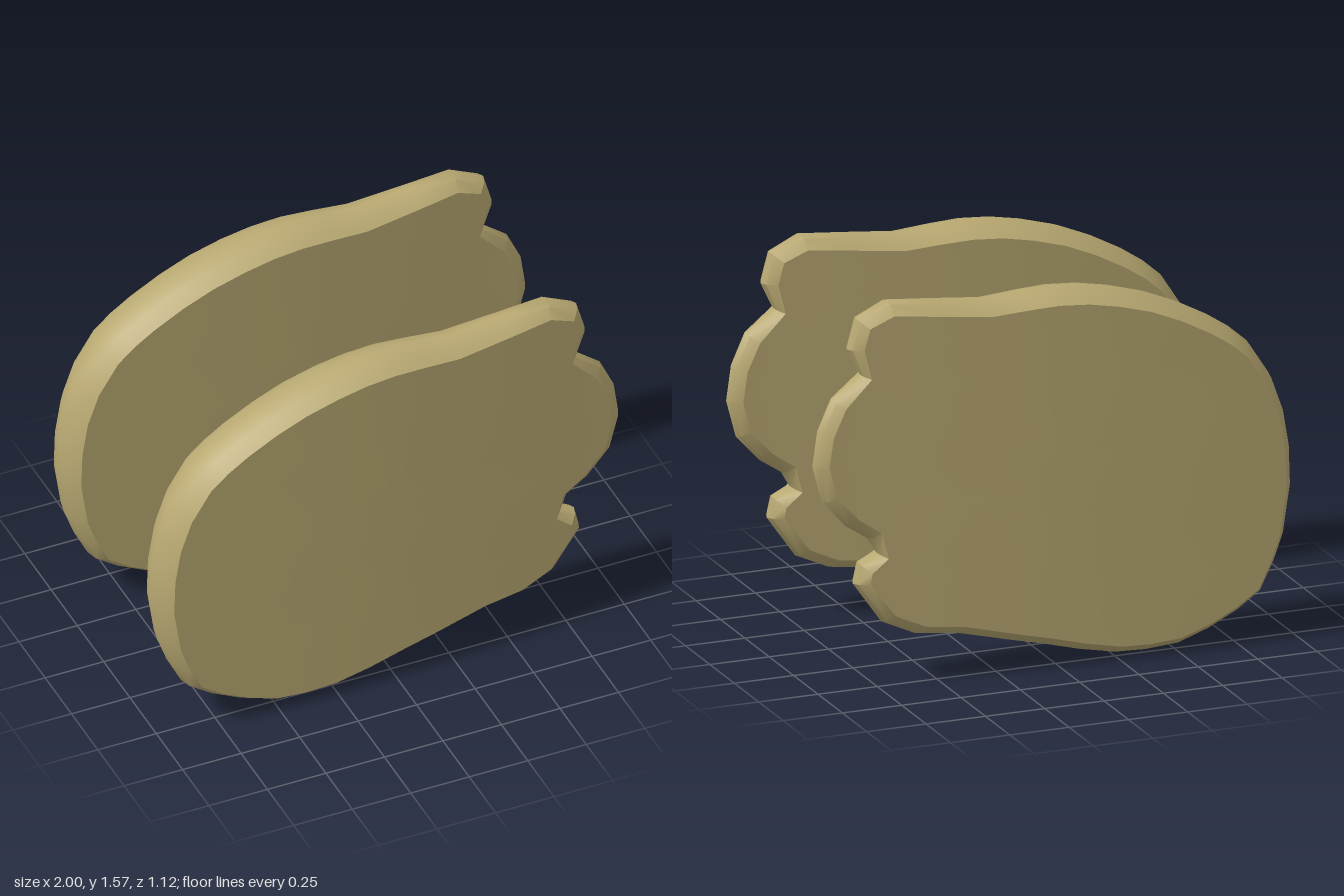
import * as THREE from 'three';
import { toCreasedNormals } from 'three/addons/utils/BufferGeometryUtils.js';

// Side silhouette, counter-clockwise from the lowest point
const OUTLINE = [
  [-0.38, 0.005], [-0.25, 0.01], [-0.1, 0.04], [0.05, 0.08], [0.2, 0.115], [0.4, 0.165],
  [0.57, 0.185], [0.71, 0.25], [0.83, 0.42], [0.81, 0.505], [0.73, 0.535], [0.77, 0.6],
  [0.86, 0.66], [0.96, 0.77], [1, 0.92], [0.98, 1.06], [0.92, 1.19], [0.8, 1.275],
  [0.855, 1.385], [0.82, 1.51], [0.69, 1.57], [0.5, 1.55], [0.28, 1.525], [0.13, 1.535],
  [0, 1.54], [-0.13, 1.53], [-0.26, 1.505], [-0.4, 1.465], [-0.53, 1.41], [-0.66, 1.34],
  [-0.75, 1.28], [-0.83, 1.21], [-0.92, 1.07], [-0.97, 0.93], [-0.995, 0.78], [-1, 0.62],
  [-0.97, 0.42], [-0.93, 0.31], [-0.87, 0.19], [-0.77, 0.12], [-0.65, 0.06], [-0.52, 0.015],
].map(([x, y]) => new THREE.Vector2(x, y));

const CENTER = new THREE.Vector2(0, 0.75);

// Half thickness: full at the rounded end, thinning towards the notched end
const TAPER = [[-1, 0.118], [-0.3, 0.118], [0, 0.111], [0.2, 0.102], [0.45, 0.088], [0.75, 0.067], [1, 0.052]];
function halfThickness(x) {
  for (let i = 1; i < TAPER.length; i++) {
    const [x0, h0] = TAPER[i - 1], [x1, h1] = TAPER[i];
    if (x <= x1) return THREE.MathUtils.mapLinear(Math.max(x, x0), x0, x1, h0, h1);
  }
  return TAPER[TAPER.length - 1][1];
}

// Inward direction per outline point, shortened in the concave notches
const INWARD = OUTLINE.map((p, i) => {
  const n = OUTLINE.length;
  const a = p.clone().sub(OUTLINE[(i + n - 1) % n]).normalize();
  const b = OUTLINE[(i + 1) % n].clone().sub(p).normalize();
  const dir = new THREE.Vector2(-(a.y + b.y), a.x + b.x).normalize();
  return dir.multiplyScalar(a.cross(b) < -0.5 ? 0.5 : 1);
});

// Rings from the middle of one face, over the rounded rim, to the other face:
// [scale about the centre, inset from the outline, fraction of half thickness]
const FACE = [[0, 0.05, 1], [0.3, 0.05, 1], [0.6, 0.05, 1], [0.85, 0.05, 1], [1, 0.05, 1], [1, 0.012, 0.5]];
const RINGS = [...FACE, [1, 0, 0], ...FACE.map(([s, d, f]) => [s, d, -f]).reverse()];

function plateGeometry() {
  const n = OUTLINE.length, positions = [], index = [];
  RINGS.forEach(([scale, inset, f], r) => {
    OUTLINE.forEach((p, i) => {
      const q = p.clone().addScaledVector(INWARD[i], inset).sub(CENTER).multiplyScalar(scale).add(CENTER);
      positions.push(q.x, q.y, f * halfThickness(q.x));
      if (r === RINGS.length - 1) return;
      const j = (i + 1) % n;
      const a = r * n + i, b = r * n + j, c = b + n, d = a + n;
      if (r > 0) index.push(a, c, b);
      if (r < RINGS.length - 2) index.push(a, d, c);
      if (r === 0) index.pop(), index.pop(), index.pop(), index.push(a, d, c);
    });
  });
  const geometry = new THREE.BufferGeometry();
  geometry.setAttribute('position', new THREE.Float32BufferAttribute(positions, 3));
  geometry.setIndex(index);
  return toCreasedNormals(geometry, THREE.MathUtils.degToRad(32));
}

export function createModel() {
  const group = new THREE.Group();
  const material = new THREE.MeshStandardMaterial({ color: 0xb9a972 });
  const geometry = plateGeometry();
  // Two matching plates, front and back
  for (const [name, z] of [['frontPlate', 0.442], ['backPlate', -0.442]]) {
    const plate = new THREE.Mesh(geometry, material);
    plate.name = name;
    plate.position.z = z;
    group.add(plate);
  }
  return group;
}
